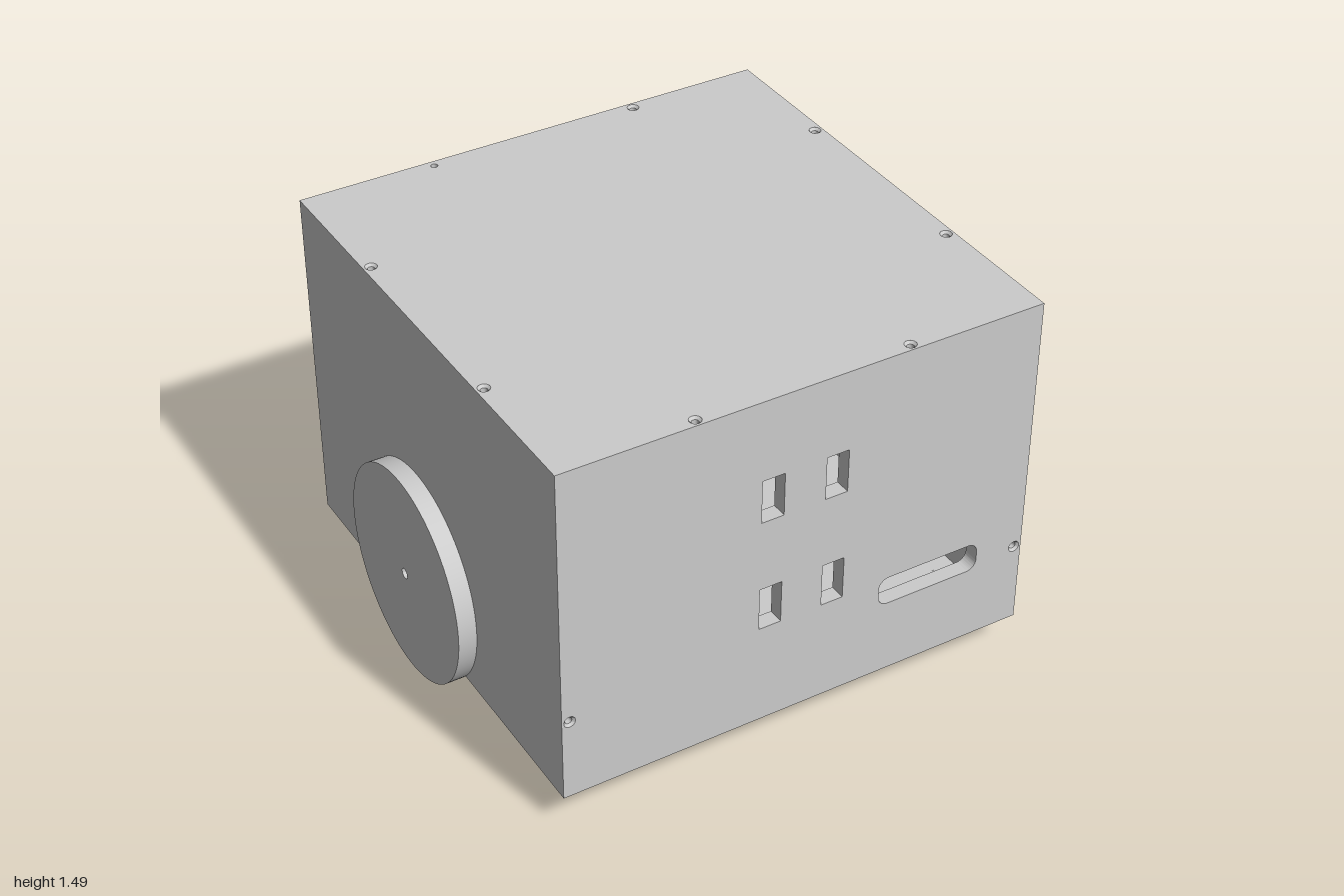
import * as THREE from 'three';
import { toCreasedNormals } from 'three/addons/utils/BufferGeometryUtils.js';

const W = 0.93, T = 0.06, BOTTOM = 0.135, TOP = 1.49;
const LOW = BOTTOM + T, HIGH = TOP - T, IN = W - T;

const mat = new THREE.MeshStandardMaterial({ color: 0xcccccc });
const thinMat = new THREE.MeshStandardMaterial({ color: 0xcccccc, side: THREE.DoubleSide });

// Closed outlines used for panels and their cutouts
function rect(Kind, x0, y0, x1, y1) {
  return new Kind([[x0, y0], [x1, y0], [x1, y1], [x0, y1]].map(p => new THREE.Vector2(...p)));
}
function circle(Kind, x, y, r) {
  return new Kind().absarc(x, y, r, 0, Math.PI * 2, false);
}
function roundedSlot(x0, y0, x1, y1, r) {
  const p = new THREE.Path();
  p.absarc(x1 - r, y1 - r, r, 0, Math.PI / 2);
  p.absarc(x0 + r, y1 - r, r, Math.PI / 2, Math.PI);
  p.absarc(x0 + r, y0 + r, r, Math.PI, Math.PI * 1.5);
  p.absarc(x1 - r, y0 + r, r, Math.PI * 1.5, Math.PI * 2);
  p.closePath();
  return p;
}
const opening = (...a) => rect(THREE.Path, ...a);
const hole = (...a) => circle(THREE.Path, ...a);

function plate(name, shape, holes, depth, segments = 24) {
  shape.holes.push(...holes);
  const geo = new THREE.ExtrudeGeometry(shape, { depth, bevelEnabled: false, curveSegments: segments });
  const mesh = new THREE.Mesh(toCreasedNormals(geo, 0.5), mat);
  mesh.name = name;
  return mesh;
}

// Panel with local z = 0 inside and z = T outside; sinks are [x, y, outerRadius, innerRadius]
function panel(name, bounds, holes, sinks = []) {
  const group = new THREE.Group();
  group.name = name;
  const all = [...holes, ...sinks.map(([x, y, r]) => hole(x, y, r))];
  group.add(plate(name + 'Plate', rect(THREE.Shape, ...bounds), all, T));
  for (const [x, y, r, inner] of sinks) {
    const profile = [[r, T], [inner, T - (r - inner)], [inner, 0], [r, 0]];
    const geo = new THREE.LatheGeometry(profile.map(p => new THREE.Vector2(...p)), 24);
    geo.rotateX(Math.PI / 2);
    const cone = new THREE.Mesh(toCreasedNormals(geo, 0.5), thinMat);
    cone.name = 'countersink';
    cone.position.set(x, y, 0);
    group.add(cone);
  }
  return group;
}

export function createModel() {
  const model = new THREE.Group();
  model.name = 'wheeledBox';
  const wall = [-W, LOW, W, HIGH];
  const square = [-W, -W, W, W];
  const wallScrews = [-0.9, 0.9].map(x => [x, 0.465, 0.022, 0.013]);

  // Front panel: four sensor windows and a rounded slot
  const frontHoles = [roundedSlot(0.32, 0.435, 0.735, 0.55, 0.04)];
  for (const x of [-0.17, 0.08])
    for (const y of [0.545, 1.0]) frontHoles.push(opening(x, y, x + 0.087, y + 0.172));
  const front = panel('frontPanel', wall, frontHoles, wallScrews);
  front.position.z = IN;

  // Back panel: two large windows, a round hole and a connector cutout
  const back = panel('backPanel', wall, [
    opening(-0.767, 0.78, -0.237, 1.303), opening(0.237, 0.78, 0.767, 1.303),
    opening(-0.127, 0.3, 0.127, 0.468), hole(0, 0.67, 0.057),
    hole(-0.167, 0.376, 0.038), hole(0.167, 0.376, 0.038),
  ], wallScrews);
  back.rotation.y = Math.PI;
  back.position.z = -IN;

  // Lid with screw holes along its edges (local y is -z)
  const lidScrews = [[0.41, -0.9], [-0.41, -0.9], [0.41, 0.9]];
  for (const x of [-0.9, 0.9]) lidScrews.push([x, -0.41], [x, 0.415]);
  const lid = panel('lid', square, [hole(-0.415, 0.9, 0.013)],
    lidScrews.map(([x, y]) => [x, y, 0.022, 0.013]));
  lid.rotation.x = -Math.PI / 2;
  lid.position.y = HIGH;

  // Floor with four countersunk mounting holes
  const mounts = [];
  for (const x of [-0.775, 0.775])
    for (const z of [-0.535, 0.7]) mounts.push([x, z, 0.068, 0.036]);
  const floor = panel('floor', square, [], mounts);
  floor.rotation.x = Math.PI / 2;
  floor.position.y = LOW;
  model.add(front, back, lid, floor);

  // Side panels and wheels, both pierced by the axle hole
  const R = 0.415, axleZ = -0.09;
  for (const [side, s] of [['left', 1], ['right', -1]]) {
    const sidePanel = panel(side + 'Panel', [-IN, LOW, IN, HIGH], [hole(-s * axleZ, R, 0.02)]);
    sidePanel.rotation.y = s * Math.PI / 2;
    sidePanel.position.x = s * IN;

    const wheel = plate(side + 'Wheel', circle(THREE.Shape, 0, 0, R), [hole(0, 0, 0.02)], 0.12, 64);
    wheel.rotation.y = s * Math.PI / 2;
    wheel.position.set(s * 0.88, R, axleZ);
    model.add(sidePanel, wheel);
  }
  return model;
}
